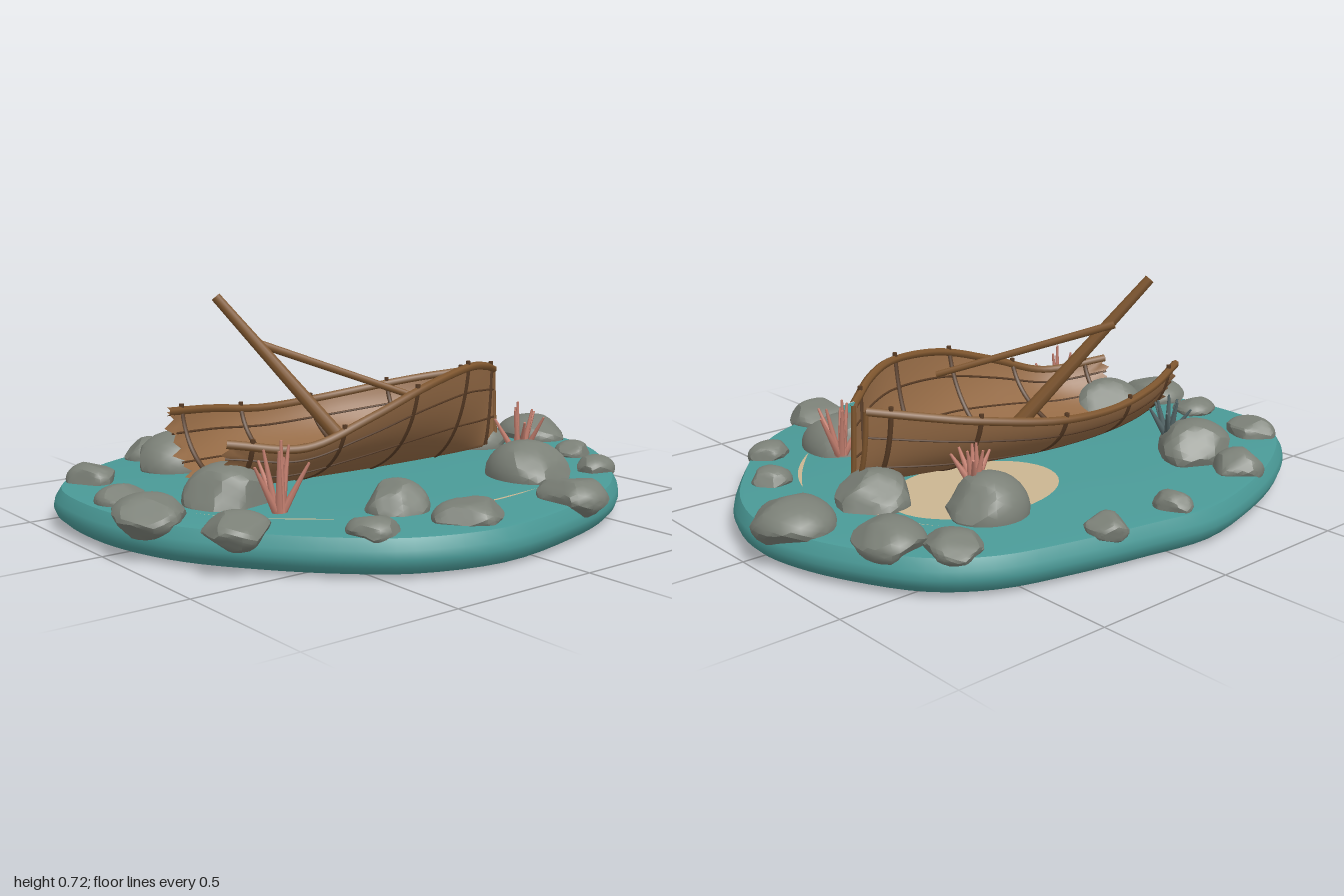
import * as THREE from 'three';
import { toCreasedNormals, mergeVertices } from 'three/addons/utils/BufferGeometryUtils.js';

const mat = (name, color, side = THREE.FrontSide) =>
  Object.assign(new THREE.MeshStandardMaterial({ color, side }), { name });
const V = (x, y, z) => new THREE.Vector3(x, y, z);

export function createModel() {
  const root = new THREE.Group();
  root.name = 'wreckedBoatScene';
  const water = mat('water', 0x4a9a97);
  const wood = mat('wood', 0x946a45, THREE.DoubleSide);
  const trim = mat('trim', 0x80572f);
  const darkWood = mat('darkWood', 0x5a3d26);
  const stone = mat('stone', 0x7b8077);
  const sand = mat('sand', 0xcbb591, THREE.DoubleSide);
  const coral = mat('coral', 0xc58070);
  const slate = mat('slate', 0x56686a);

  let seed = 7;
  const rnd = () => (seed = (seed * 16807) % 2147483647) / 2147483647;
  const add = (name, geo, m, parent = root) => {
    const mesh = new THREE.Mesh(geo, m);
    mesh.name = name;
    parent.add(mesh);
    return mesh;
  };
  const group = (name) => {
    const g = new THREE.Group();
    g.name = name;
    root.add(g);
    return g;
  };
  const tube = (name, pts, r, m, parent, sides = 6) =>
    add(name, new THREE.TubeGeometry(new THREE.CatmullRomCurve3(pts), pts.length * 2, r, sides), m, parent);
  const rod = (name, a, b, r0, r1, m, parent, sides = 8) => {
    const d = b.clone().sub(a);
    const mesh = add(name, new THREE.CylinderGeometry(r1, r0, d.length(), sides), m, parent);
    mesh.position.copy(a).addScaledVector(d, 0.5);
    mesh.quaternion.setFromUnitVectors(V(0, 1, 0), d.normalize());
    return mesh;
  };

  // Water base: a lathe whose rings follow a free outline
  const outline = new THREE.CatmullRomCurve3([
    [-0.15, 0.835], [0.2, 0.78], [0.45, 0.69], [0.63, 0.56], [0.78, 0.39], [0.91, 0.2], [0.97, 0],
    [0.95, -0.17], [0.88, -0.36], [0.76, -0.56], [0.6, -0.68], [0.35, -0.755], [0.1, -0.805], [-0.15, -0.84],
    [-0.45, -0.77], [-0.7, -0.66], [-0.88, -0.53], [-0.96, -0.4], [-0.985, -0.2], [-0.965, 0.02],
    [-0.89, 0.24], [-0.75, 0.45], [-0.6, 0.62], [-0.43, 0.755],
  ].map(([x, z]) => V(x, 0, z)), true);
  const profile = [[0, 0], [0.92, 0], [0.965, 0.012], [0.99, 0.035], [1, 0.06], [0.995, 0.085], [0.975, 0.118], [0.96, 0.12], [0, 0.12]]
    .map(([r, y]) => new THREE.Vector2(r, y));
  const SEG = 96;
  const base = new THREE.LatheGeometry(profile, SEG);
  for (let i = 0; i <= SEG; i++) {
    const p = outline.getPoint((i % SEG) / SEG);
    profile.forEach((q, j) => base.attributes.position.setXYZ(i * profile.length + j, p.x * q.x, q.y, p.z * q.x));
  }
  add('waterBase', toCreasedNormals(base, 0.7), water);

  // Sand bank beside the hull
  const bank = add('sandBank', new THREE.CircleGeometry(1, 40).rotateX(-Math.PI / 2), sand);
  bank.scale.set(0.3, 1, 0.22);
  bank.position.set(0.3, 0.124, -0.235);

  // Ripples: thin tapered arcs from a to b, bowed at c
  [[-0.77, 0.14, -0.68, 0.34, -0.44, 0.49], [0.57, -0.41, 0.65, -0.31, 0.66, -0.2],
    [0.7, 0.13, 0.64, 0.27, 0.5, 0.4], [-0.17, 0.58, 0.04, 0.59, 0.25, 0.55]].forEach(([ax, az, cx, cz, bx, bz]) => {
    const s = new THREE.Shape();
    s.moveTo(ax, -az).quadraticCurveTo(cx + 0.01, -cz - 0.01, bx, -bz).quadraticCurveTo(cx - 0.01, -cz + 0.01, ax, -az);
    add('ripple', new THREE.ShapeGeometry(s, 16).rotateX(-Math.PI / 2), sand).position.y = 0.124;
  });

  // Boat: three guide curves (high rail, low rail, keel) and a bowed section between them
  const boat = group('boat');
  const guide = (rows) => new THREE.CatmullRomCurve3(rows.map((r) => V(...r)), false, 'catmullrom', 0.5);
  const highRail = guide([[-0.64, 0.31, 0.12], [-0.42, 0.285, 0.215], [-0.2, 0.355, 0.25], [0.05, 0.43, 0.235],
    [0.3, 0.463, 0.165], [0.45, 0.448, 0.095], [0.605, 0.41, -0.025]]);
  const lowRail = guide([[-0.64, 0.36, -0.23], [-0.42, 0.335, -0.32], [-0.2, 0.31, -0.35], [0.05, 0.32, -0.345],
    [0.3, 0.355, -0.275], [0.45, 0.38, -0.2], [0.605, 0.405, -0.09]]);
  const keel = guide([[-0.62, 0.135, -0.03], [-0.42, 0.128, -0.02], [-0.2, 0.126, -0.01], [0.05, 0.126, 0],
    [0.3, 0.127, 0], [0.45, 0.13, 0], [0.605, 0.135, -0.005]]);
  const hullPoint = (u, t) => {
    const k = keel.getPoint(u), a = Math.abs(t);
    const g = (t > 0 ? highRail : lowRail).getPoint(u);
    const c = V((k.x + g.x) / 2, k.y + (g.y - k.y) * (t > 0 ? 0.27 : 0.15), k.z + (g.z - k.z) * (t > 0 ? 0.82 : 0.88));
    return k.multiplyScalar((1 - a) ** 2).addScaledVector(c, 2 * a * (1 - a)).addScaledVector(g, a * a);
  };
  const uAt = (x) => {
    let u = 0;
    while (u < 1 && keel.getPoint(u).x < x) u += 0.005;
    return Math.min(u, 1);
  };
  const steps = (n, f) => Array.from({ length: n + 1 }, (_, i) => f(i / n));

  // Hull skin, with a ragged broken end
  const NU = 40, NT = 28, pos = [], idx = [];
  for (let i = 0; i <= NU; i++) {
    for (let j = 0; j <= NT; j++) {
      const p = hullPoint(i / NU, (j / NT) * 2 - 1);
      if (i === 0) p.x += [0, 0.02, -0.02, 0.015][j % 4];
      pos.push(p.x, p.y, p.z);
      if (i < NU && j < NT) {
        const a = i * (NT + 1) + j, b = a + NT + 1;
        idx.push(a, a + 1, b, b, a + 1, b + 1);
      }
    }
  }
  const skin = new THREE.BufferGeometry();
  skin.setAttribute('position', new THREE.Float32BufferAttribute(pos, 3));
  skin.setIndex(idx);
  skin.computeVertexNormals();
  add('hull', skin, wood, boat);

  // Rails, plank seams, stem edges
  [-1, 1].forEach((s) => {
    tube('rail', steps(24, (u) => hullPoint(u, s)), 0.014, trim, boat);
    [0.48, 0.8].forEach((t) => tube('plankSeam', steps(24, (u) => hullPoint(u, s * t)), 0.004, darkWood, boat, 5));
    tube('stemEdge', steps(8, (t) => hullPoint(1, s * t)), 0.009, trim, boat);
  });
  // Ribs with a small peg at each rail
  [-0.56, -0.29, 0.01, 0.3, 0.54].forEach((x) => {
    const u = uAt(x);
    tube('rib', steps(20, (t) => hullPoint(u, t * 1.96 - 0.98).add(V(0, 0.005, 0))), 0.009, darkWood, boat);
    [-1, 1].forEach((s) =>
      add('peg', new THREE.CylinderGeometry(0.008, 0.008, 0.02, 6), darkWood, boat)
        .position.copy(hullPoint(u, s)).add(V(0, 0.013, 0)));
  });
  // Sand showing through the floor
  const leak = add('floorSand', new THREE.CircleGeometry(1, 9).rotateX(-Math.PI / 2), sand, boat);
  leak.scale.set(0.065, 1, 0.04);
  leak.position.set(0.225, 0.16, -0.09);
  // Broken mast and leaning spar
  rod('mast', V(-0.04, 0.17, -0.01), V(-0.4, 0.71, -0.31), 0.027, 0.017, trim, boat);
  rod('spar', V(0.11, 0.37, 0.19), V(-0.3, 0.56, -0.25), 0.011, 0.014, trim, boat);

  // Rocks: spheres shaved by random planes; x, z, half width, half depth, top
  const rocks = group('rocks');
  [[-0.47, -0.66, 0.09, 0.08, 0.19], [-0.8, -0.45, 0.08, 0.09, 0.18], [-0.47, -0.47, 0.14, 0.13, 0.24],
    [-0.06, -0.74, 0.055, 0.065, 0.16], [0.22, -0.73, 0.065, 0.07, 0.16], [0.64, -0.55, 0.085, 0.1, 0.17],
    [0.75, -0.39, 0.1, 0.12, 0.19], [0.39, -0.4, 0.13, 0.12, 0.24], [0.6, -0.11, 0.13, 0.12, 0.22],
    [0.88, -0.09, 0.12, 0.14, 0.2], [-0.86, -0.14, 0.08, 0.075, 0.17], [-0.89, 0.09, 0.11, 0.12, 0.19],
    [-0.61, 0.07, 0.135, 0.13, 0.24], [-0.78, 0.39, 0.1, 0.1, 0.18], [-0.47, 0.62, 0.085, 0.075, 0.17],
    [-0.26, 0.46, 0.1, 0.1, 0.21], [-0.16, 0.68, 0.12, 0.1, 0.18], [0.25, 0.7, 0.11, 0.11, 0.19],
    [0.37, 0.39, 0.125, 0.15, 0.235], [0.61, 0.47, 0.075, 0.06, 0.16], [0.74, 0.25, 0.065, 0.065, 0.16],
  ].forEach(([x, z, w, d, top]) => {
    const cuts = steps(9, () => [V(rnd() - 0.5, (rnd() - 0.5) * 0.9, rnd() - 0.5).normalize(), 0.78 + rnd() * 0.14]);
    let geo = new THREE.IcosahedronGeometry(1.04, 4);
    const p = geo.attributes.position, v = V(0, 0, 0);
    for (let i = 0; i < p.count; i++) {
      v.fromBufferAttribute(p, i);
      cuts.forEach(([n, h]) => {
        const over = v.dot(n) - h;
        if (over > 0) v.addScaledVector(n, -over);
      });
      p.setXYZ(i, v.x * w, v.y * Math.max(top - 0.125, 0.045), v.z * d);
    }
    geo.deleteAttribute('uv');
    geo.deleteAttribute('normal');
    geo = toCreasedNormals(mergeVertices(geo, 1e-4), 0.45);
    add('rock', geo, stone, rocks).position.set(x, 0.125, z);
  });

  // Coral tufts: one upright spike ringed by leaning ones
  const tuft = (x, y, z, h, spread, m) => {
    const g = group('coralTuft');
    for (let i = 0; i < 8; i++) {
      const a = i * 2.4 + x * 9, lean = i === 0 ? 0.1 : i < 4 ? 0.5 : 1;
      const tip = V(x + Math.cos(a) * spread * lean, y + h * (1.08 - 0.4 * lean * (0.7 + 0.3 * rnd())), z + Math.sin(a) * spread * lean);
      rod('spike', V(x + Math.cos(a) * 0.01, y, z + Math.sin(a) * 0.01), tip, 0.013, 0.004, m, g, 6);
    }
  };
  tuft(-0.56, 0.12, 0.28, 0.21, 0.09, coral);
  tuft(0.47, 0.15, 0.25, 0.18, 0.09, coral);
  tuft(0.4, 0.2, -0.35, 0.12, 0.07, coral);
  tuft(-0.44, 0.18, -0.38, 0.13, 0.075, slate);
  return root;
}
